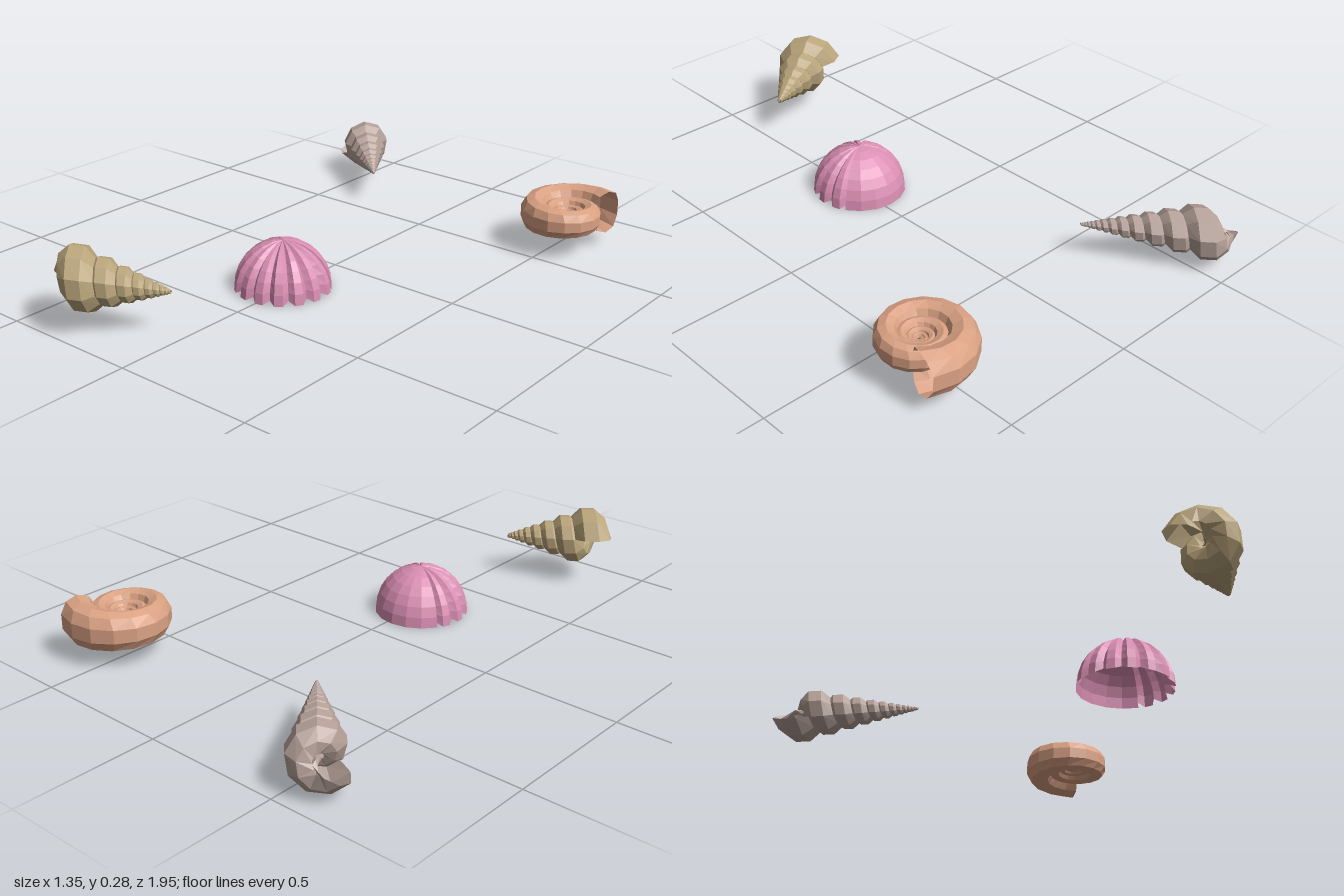
import * as THREE from 'three';

const mat = (name, color) => {
  const m = new THREE.MeshStandardMaterial({ color, flatShading: true, side: THREE.DoubleSide });
  m.name = name;
  return m;
};

// Surface from a grid of points, each ring closed on itself
function gridSurface(name, rings, material) {
  const n = rings[0].length, pos = [], idx = [];
  rings.forEach(r => r.forEach(p => pos.push(p.x, p.y, p.z)));
  for (let i = 0; i < rings.length - 1; i++) {
    for (let j = 0; j < n; j++) {
      const k = (j + 1) % n;
      const a = i * n + j, b = (i + 1) * n + j, c = (i + 1) * n + k, d = i * n + k;
      idx.push(a, b, c, a, c, d);
    }
  }
  const geo = new THREE.BufferGeometry();
  geo.setAttribute('position', new THREE.Float32BufferAttribute(pos, 3));
  geo.setIndex(idx);
  geo.computeVertexNormals();
  const mesh = new THREE.Mesh(geo, material);
  mesh.name = name;
  return mesh;
}

// Coiled shell: an open tube growing by a fixed ratio per turn around an axis from the apex.
// skew slants the cross-sections, and so the lip of the opening
function coil(name, material, o) {
  const A = new THREE.Vector3(...o.axis).normalize();
  const U = o.side ? new THREE.Vector3(...o.side)
    : new THREE.Vector3().crossVectors(A, new THREE.Vector3(0, 1, 0)).normalize();
  const V = new THREE.Vector3().crossVectors(A, U);
  const apex = new THREE.Vector3(...o.apex);
  const soft = v => Math.sign(v) * Math.pow(Math.abs(v), o.power || 1);
  const steps = Math.round(o.turns * o.perTurn), rings = [];
  for (let i = 0; i <= steps; i++) {
    const back = (i - steps) / o.perTurn;
    const g = Math.pow(o.growth, back);
    const phi = THREE.MathUtils.degToRad(o.end) + back * Math.PI * 2;
    const ring = [];
    for (let j = 0; j < o.sides; j++) {
      const t = (j + 0.5) / o.sides * Math.PI * 2;
      const p = phi - (o.skew || 0) * Math.cos(t);
      const r = (o.radius + o.wide * soft(Math.cos(t))) * g;
      ring.push(apex.clone()
        .addScaledVector(U, Math.cos(p) * r)
        .addScaledVector(V, Math.sin(p) * r)
        .addScaledVector(A, (o.height + o.tall * soft(Math.sin(t))) * g));
    }
    rings.push(ring);
  }
  return gridSurface(name, rings, material);
}

// Open dome with ten broad ribs around the front and a smooth back
function fanShell(material) {
  const columns = [];
  for (let k = 0; k < 10; k++) {
    const a = -30 + k * 24;
    columns.push({ a, r: 0.149, lift: 0.012 });
    columns.push({ a: a + 7, r: 0.168, lift: 0 }, { a: a + 17, r: 0.168, lift: 0 });
  }
  columns.push({ a: 210, r: 0.149, lift: 0.012 });
  for (let k = 0; k <= 6; k++) columns.push({ a: 211 + k * 19.66, r: 0.166, lift: 0 });
  const rings = [];
  const rows = 7;
  for (let i = 0; i <= rows; i++) {
    const lat = i / rows * Math.PI / 2;
    const ring = columns.map(c => {
      const a = THREE.MathUtils.degToRad(c.a), r = c.r * Math.sin(lat);
      return new THREE.Vector3(
        -0.022 + r * Math.cos(a),
        (0.17 - (0.168 - c.r) * Math.sin(lat)) * Math.cos(lat) + c.lift * (i / rows) ** 3,
        0.25 + r * Math.sin(a));
    });
    rings.push(ring.reverse()); // keeps the faces outward
  }
  return gridSurface('fanShell', rings, material);
}

export function createModel() {
  const group = new THREE.Group();
  group.name = 'seashells';

  group.add(fanShell(mat('pink', 0xdb8fb4)));

  // Flat snail shell
  group.add(coil('flatSpiralShell', mat('salmon', 0xdba284), {
    apex: [0.538, 0.128, -0.655], axis: [0, -1, 0], side: [1, 0, 0], end: -47, skew: 0.2,
    radius: 0.152, wide: 0.059, height: 0, tall: 0.079, power: 0.9,
    growth: 1.8, turns: 5.5, perTurn: 15, sides: 10,
  }));

  // Stout pointed shell
  group.add(coil('whelkShell', mat('tan', 0xbaa57c), {
    apex: [-0.03, 0.145, 0.735], axis: [-0.87, 0.06, 0.5], end: -12,
    radius: 0.058, wide: 0.068, height: 0.347, tall: 0.07,
    growth: 1.36, turns: 9, perTurn: 10, sides: 8,
  }));

  // Slender turret shell
  group.add(coil('turretShell', mat('greyBrown', 0xb5a199), {
    apex: [-0.265, 0.123, -0.56], axis: [-0.69, -0.02, -0.725], end: 150,
    radius: 0.043, wide: 0.067, height: 0.477, tall: 0.074,
    growth: 1.27, turns: 13, perTurn: 9, sides: 8,
  }));

  return group;
}
